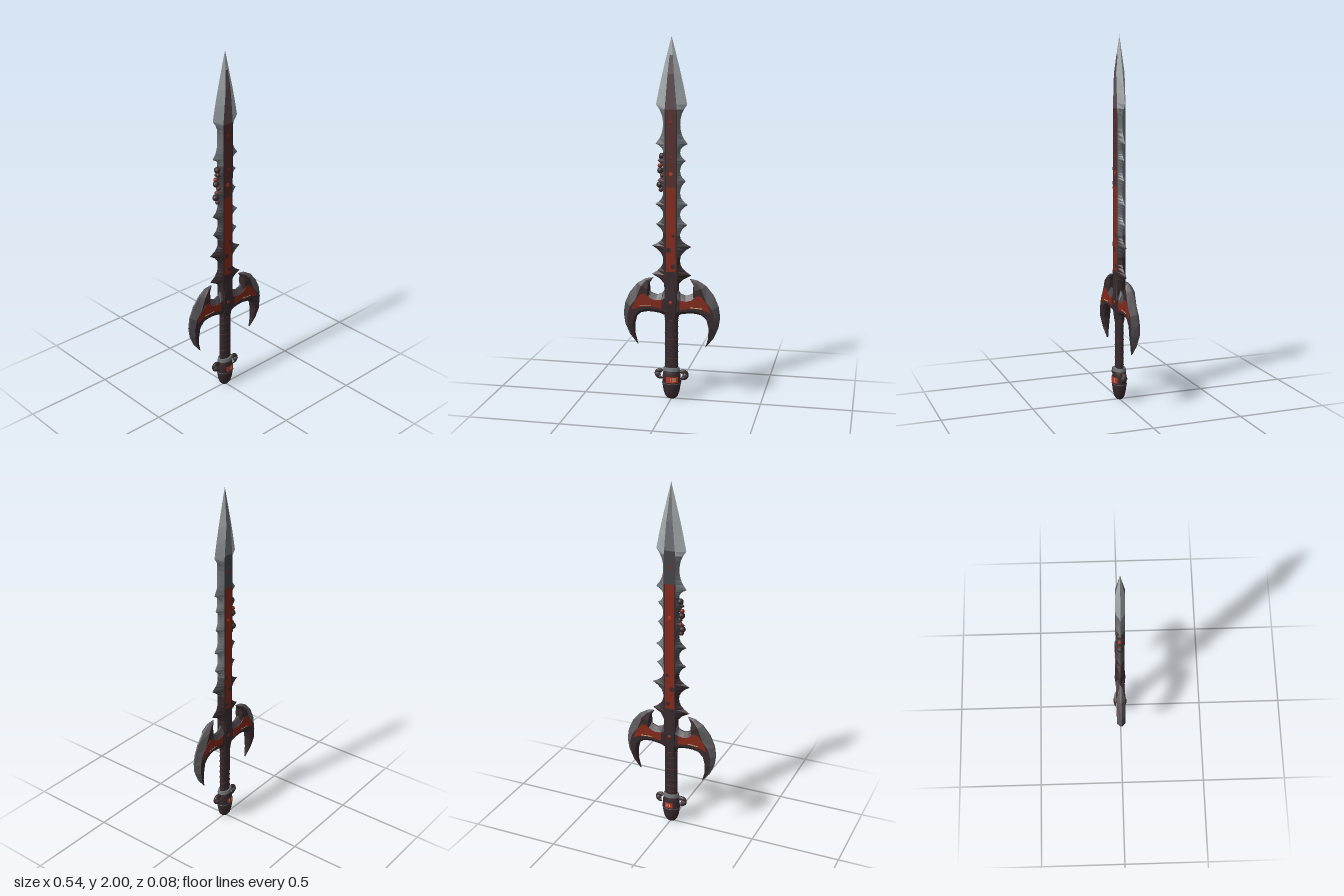
import * as THREE from 'three';

const mat = (name, color) => {
  const m = new THREE.MeshStandardMaterial({ color });
  m.name = name;
  return m;
};

export function createModel() {
  const root = new THREE.Group();
  root.name = 'sword';
  const steel = mat('steel', 0xa4aaad), gunmetal = mat('gunmetal', 0x6c7073);
  const slate = mat('slate', 0x5a575a), charcoal = mat('charcoal', 0x464347);
  const umber = mat('dark umber', 0x37292c), red = mat('blood red', 0x84291b);
  const maroon = mat('maroon', 0x542c2a), dusk = mat('dusk grey', 0x5e4d52);
  const ember = mat('ember red', 0xb83a24), bone = mat('bone', 0xcabb94);
  const palette = [steel, gunmetal, slate, charcoal, umber, red, maroon, dusk, ember, bone];

  const add = (name, geo, material, x = 0, y = 0, z = 0) => {
    const m = new THREE.Mesh(geo, material);
    m.name = name;
    m.position.set(x, y, z);
    root.add(m);
    return m;
  };

  // Faceted skin over a list of closed sections; pick(row, side) gives the material of each strip
  const loft = (name, rows, pick, flip = false) => {
    const buckets = new Map();
    const n = rows[0].length;
    for (let j = 0; j < rows.length - 1; j++) {
      for (let k = 0; k < n; k++) {
        const a = rows[j][k], b = rows[j][(k + 1) % n];
        const c = rows[j + 1][(k + 1) % n], d = rows[j + 1][k];
        const tris = flip ? [a, c, d, a, b, c] : [a, d, c, a, c, b];
        const m = pick(j, k);
        if (!buckets.has(m)) buckets.set(m, []);
        buckets.get(m).push(...tris.flat());
      }
    }
    const pos = [], geo = new THREE.BufferGeometry(), mats = [];
    for (const m of palette) {
      const list = buckets.get(m);
      if (!list) continue;
      geo.addGroup(pos.length / 3, list.length / 3, mats.length);
      mats.push(m);
      for (const v of list) pos.push(v);
    }
    geo.setAttribute('position', new THREE.Float32BufferAttribute(pos, 3));
    geo.computeVertexNormals();
    return add(name, geo, mats);
  };

  // Blade outline: pointed teeth joined by concave hollows, then the spear tip
  const teeth = [[0.71, 0.11], [0.87, 0.11], [0.99, 0.088], [1.1, 0.09], [1.23, 0.078],
    [1.34, 0.078], [1.43, 0.088], [1.64, 0.085]];
  const outline = [[0.58, 0.036], [0.66, 0.042], [0.685, 0.065]];
  for (let i = 0; i < teeth.length - 1; i++) {
    const [y0, x0] = teeth[i], [y1, x1] = teeth[i + 1];
    for (let s = 0; s < 8; s++) {
      const t = s / 8, v = 0.047;
      const edge = THREE.MathUtils.lerp(x0, x1, t);
      outline.push([y0 + (y1 - y0) * t, v + (edge - v) * Math.abs(2 * t - 1) ** 2.3]);
    }
  }
  outline.push([1.64, 0.085], [1.72, 0.069], [1.8, 0.051], [1.9, 0.026], [2, 0]);
  // Each section has an edge, a narrow border and a central fuller on both faces
  const bladeRows = outline.map(([y, x]) => {
    const r = y < 1.6 ? 0.034 : 0.034 * (2 - y) / 0.4, f = r * 0.78;
    const z = y < 1.8 ? 0.024 : 0.024 * (2 - y) / 0.2;
    return [[x, y, 0], [r, y, z], [f, y, z], [-f, y, z], [-r, y, z],
      [-x, y, 0], [-r, y, -z], [-f, y, -z], [f, y, -z], [r, y, -z]];
  });
  loft('blade', bladeRows, (j, k) => {
    const y = (outline[j][0] + outline[j + 1][0]) / 2;
    if (k === 2) return y > 1.9 ? steel : y > 1.62 ? dusk : y > 1.2 ? maroon : y > 0.72 ? red : umber;
    if (k === 7) return y > 1.64 ? gunmetal : y > 1.45 ? charcoal : y > 0.72 ? red : umber;
    if (k === 1 || k === 3) return y > 1.9 ? steel : y > 1.62 ? dusk : umber;
    if (k === 6 || k === 8) return y > 1.64 ? gunmetal : y > 1.45 ? charcoal : umber;
    if (y > 1.62) return steel;
    if (k === 0 || k === 9) return y > 0.93 ? gunmetal : y > 0.8 ? charcoal : umber;
    return y > 1.38 ? gunmetal : y > 0.95 ? charcoal : umber;
  });

  // Blotches along the fuller: dark ones low down, glowing ones higher up
  const spots = [[0.012, 0.76, 0.013, umber], [-0.014, 0.85, 0.015, umber], [0.014, 0.93, 0.009, umber],
    [0, 1.27, 0.011, ember], [0.004, 1.36, 0.008, red], [0, 1.55, 0.009, red]];
  for (const [x, y, r, m] of spots) {
    for (const s of [1, -1]) {
      const spot = add('fullerSpot', new THREE.CylinderGeometry(r, r, 0.004, 7), m, x, y, s * 0.0235);
      spot.rotation.x = Math.PI / 2;
    }
  }

  // Knotted ornament along the right edge of the blade
  for (let i = 0; i < 8; i++) {
    const r = 0.013 + 0.005 * (i % 3 === 1);
    add('edgeKnot', new THREE.IcosahedronGeometry(r, 1), [maroon, umber, red][i % 3],
      -0.058 - 0.008 * Math.sin(i * 1.7), 1.18 + i * 0.026, 0.004 * Math.cos(i * 2.1));
  }

  // Guard: short arms and sickle horns, given as outer and inner edge points
  const arm = [[0, 0.64, 0, 0.48], [0.035, 0.632, 0.035, 0.482], [0.05, 0.605, 0.06, 0.492],
    [0.08, 0.594, 0.09, 0.497], [0.105, 0.602, 0.115, 0.499], [0.14, 0.62, 0.14, 0.498]];
  const horn = [[0.103, 0.69, 0.103, 0.69], [0.145, 0.683, 0.123, 0.66], [0.192, 0.655, 0.122, 0.622],
    [0.235, 0.603, 0.125, 0.5], [0.262, 0.543, 0.168, 0.492], [0.271, 0.48, 0.197, 0.467],
    [0.262, 0.42, 0.209, 0.42], [0.235, 0.36, 0.206, 0.36], [0.19, 0.305, 0.19, 0.305]];
  const guardSections = (pairs, s, h) => pairs.map(([ox, oy, ix, iy]) => {
    const w = Math.hypot(ox - ix, oy - iy);
    const d = Math.min(h, 0.004 + w * 0.4);
    const p = (t, z) => [s * (ox + (ix - ox) * t), oy + (iy - oy) * t, z];
    return [p(0, 0.004), p(0.34, d), p(0.86, d), p(1, d * 0.5), p(1, -d * 0.5),
      p(0.86, -d), p(0.34, -d), p(0, -0.004)];
  });
  const panel = [[0.05, 0.572], [0.085, 0.566], [0.115, 0.575], [0.145, 0.602], [0.17, 0.598],
    [0.205, 0.555], [0.225, 0.505], [0.18, 0.524], [0.12, 0.53], [0.05, 0.52]];
  for (const s of [1, -1]) {
    const side = s > 0 ? 'left' : 'right';
    loft(side + 'GuardArm', guardSections(arm, s, 0.024),
      (j, k) => (k === 0 || k >= 6 ? charcoal : umber), s > 0);
    loft(side + 'GuardHorn', guardSections(horn, s, 0.025),
      (j, k) => (k !== 0 && k < 6 ? umber : j < 4 ? slate : k === 0 ? charcoal : slate), s > 0);
    // Red inlays with a pale highlight line on both faces
    const shape = new THREE.Shape(panel.map(([x, y]) => new THREE.Vector2(s * x, y)));
    const plate = new THREE.ExtrudeGeometry(shape, { depth: 0.003, bevelEnabled: false });
    add(side + 'FrontInlay', plate, red, 0, 0, 0.0232);
    add(side + 'BackInlay', plate, red, 0, 0, -0.0262);
    for (const f of [1, -1]) {
      const line = add(side + 'InlayLine', new THREE.BoxGeometry(0.065, 0.004, 0.002), bone, s * 0.142, 0.533, f * 0.0262);
      line.rotation.z = s * -0.06;
    }
  }

  // Faceted boss where blade, guard and grip meet
  const bossRows = [[0.44, 0.034, 0.02], [0.5, 0.045, 0.026], [0.57, 0.05, 0.029], [0.62, 0.04, 0.027],
    [0.7, 0.012, 0.024]].map(([y, x, z]) => [[x, y, 0], [x * 0.6, y, z], [-x * 0.6, y, z],
    [-x, y, 0], [-x * 0.6, y, -z], [x * 0.6, y, -z]]);
  loft('guardBoss', bossRows, () => umber);
  for (const s of [1, -1]) {
    const gem = add('bossGem', new THREE.IcosahedronGeometry(0.012, 1), red, 0, 0.555, s * 0.028);
    gem.scale.z = 0.4;
  }

  // Oval grip with wrap rings
  const grip = add('grip', new THREE.CylinderGeometry(0.037, 0.037, 0.3, 16), umber, 0, 0.33, 0);
  grip.scale.z = 0.6;
  for (let i = 0; i < 8; i++) {
    const ring = add('gripWrap', new THREE.TorusGeometry(0.036, 0.003, 5, 18),
      i % 3 === 1 ? maroon : umber, 0, 0.2 + i * 0.036, 0);
    ring.rotation.x = Math.PI / 2;
    ring.scale.y = 0.6;
  }

  // Pommel: rounded head, collar and curled side knobs
  const profile = [[0, 0], [0.022, 0.003], [0.036, 0.018], [0.045, 0.045], [0.05, 0.075], [0.052, 0.1],
    [0.05, 0.135], [0.046, 0.16], [0.04, 0.168], [0, 0.17]].map(([x, y]) => new THREE.Vector2(x, y));
  const head = add('pommel', new THREE.LatheGeometry(profile, 18), umber);
  head.scale.z = 0.76;
  const collar = add('pommelCollar', new THREE.CylinderGeometry(0.044, 0.049, 0.018, 16), gunmetal, 0, 0.173, 0);
  collar.scale.z = 0.75;
  const band = add('pommelBand', new THREE.TorusGeometry(0.051, 0.004, 6, 20), charcoal, 0, 0.09, 0);
  band.rotation.x = Math.PI / 2;
  band.scale.y = 0.74;
  for (const s of [1, -1]) {
    const curl = add('pommelCurl', new THREE.TorusGeometry(0.019, 0.012, 8, 14, 4.6), umber, s * 0.066, 0.14, 0);
    curl.rotation.z = s > 0 ? -2.2 : 0.8;
    add('pommelKnob', new THREE.SphereGeometry(0.017, 10, 8), charcoal, s * 0.079, 0.138, 0);
  }

  // Glowing curved patches around the pommel, with pale bars on front and back
  const wrapPatch = (name, material, r, y, h, start, length) => {
    const patch = add(name, new THREE.CylinderGeometry(r, r, h, 8, 1, true, start, length), material, 0, y, 0);
    patch.scale.z = 0.76;
  };
  wrapPatch('frontGlow', ember, 0.0535, 0.117, 0.034, -0.45, 1.35);
  wrapPatch('backGlow', ember, 0.0535, 0.117, 0.034, Math.PI - 0.45, 0.9);
  for (const a of [0.02, 0.24, 0.46]) wrapPatch('frontBar', bone, 0.0545, 0.118, 0.024, a, 0.09);
  for (const a of [-0.2, 0.08]) wrapPatch('backBar', bone, 0.0545, 0.118, 0.018, Math.PI + a, 0.12);
  return root;
}
